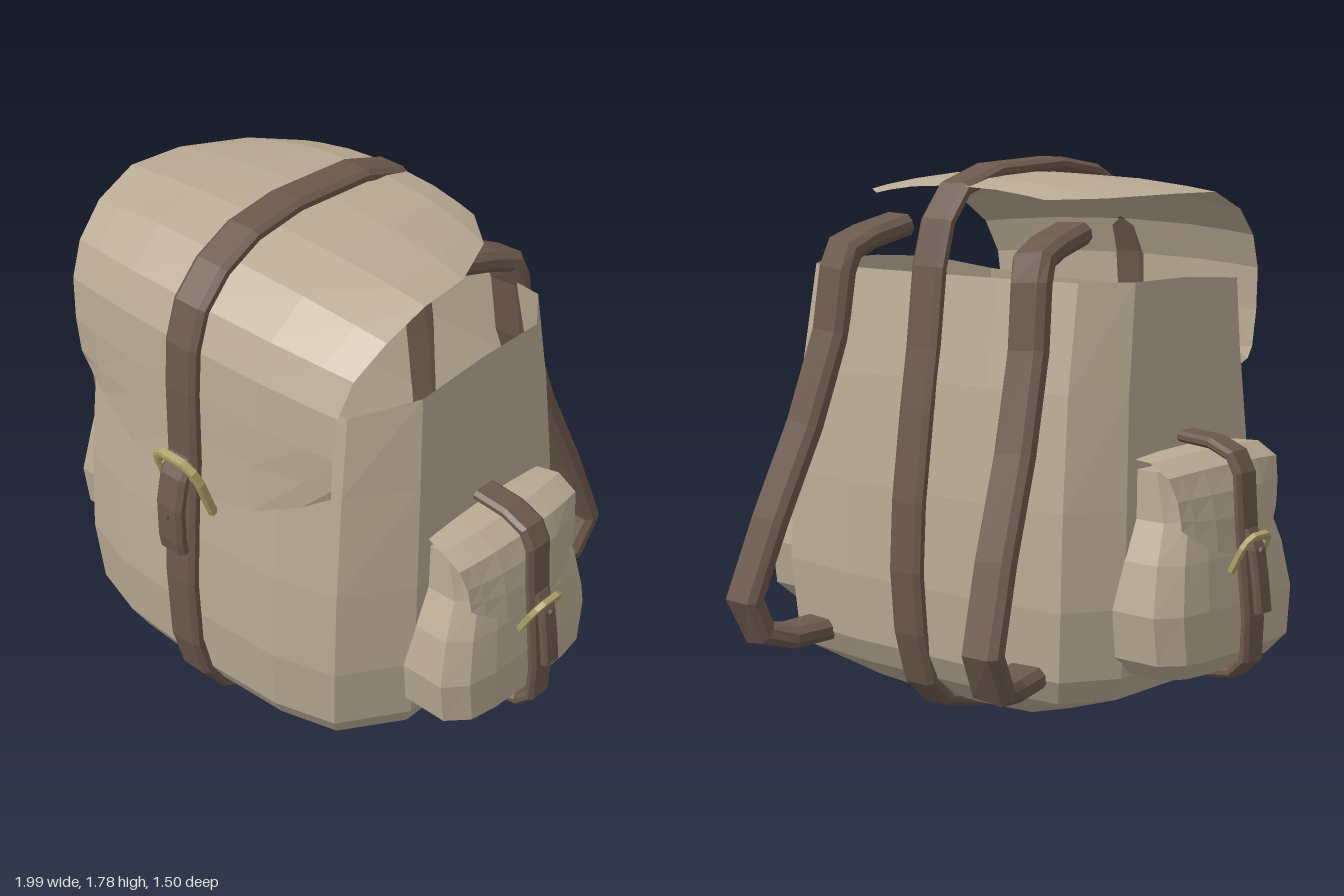
import * as THREE from 'three';

const V = (x, y, z) => new THREE.Vector3(x, y, z);
const mat = (name, color, side = THREE.FrontSide) => {
  const m = new THREE.MeshStandardMaterial({ color, side });
  m.name = name;
  return m;
};

// Faceted skin over rows of points; wrap closes each row, caps fill both ends
function loft(rows, { wrap = false, capStart = false, capEnd = false } = {}) {
  const p = [];
  const tri = (...vs) => vs.forEach(v => p.push(v.x, v.y, v.z));
  const n = rows[0].length;
  for (let i = 0; i < rows.length - 1; i++) {
    for (let j = 0; j < (wrap ? n : n - 1); j++) {
      const k = (j + 1) % n, a = rows[i][j], b = rows[i][k], c = rows[i + 1][k], d = rows[i + 1][j];
      tri(a, b, c);
      tri(a, c, d);
    }
  }
  const cap = (r, flip) => {
    const c = r.reduce((s, v) => s.add(v), V(0, 0, 0)).divideScalar(n);
    r.forEach((v, j) => flip ? tri(c, r[(j + 1) % n], v) : tri(c, v, r[(j + 1) % n]));
  };
  if (capStart) cap(rows[0], true);
  if (capEnd) cap(rows[rows.length - 1], false);
  const g = new THREE.BufferGeometry();
  g.setAttribute('position', new THREE.Float32BufferAttribute(p, 3));
  g.computeVertexNormals();
  return g;
}

// Bevelled flat band swept along points; across = width direction
function band(pts, width, thick, across, closed = false) {
  const n = pts.length, w = width / 2, t = thick / 2;
  const section = [[1, -.4], [1, .4], [.72, 1], [-.72, 1], [-1, .4], [-1, -.4], [-.72, -1], [.72, -1]];
  const rows = pts.map((p, i) => {
    const prev = closed ? pts[(i + n - 1) % n] : pts[Math.max(i - 1, 0)];
    const next = closed ? pts[(i + 1) % n] : pts[Math.min(i + 1, n - 1)];
    const d1 = p.clone().sub(prev).normalize(), d2 = next.clone().sub(p).normalize();
    const T = d1.clone().add(d2).normalize();
    const end = !closed && (i === 0 || i === n - 1);
    const miter = end ? 1 : 1 / Math.max(.6, T.dot(d2));
    const S = across.clone().addScaledVector(T, -T.dot(across)).normalize();
    const N = T.clone().cross(S);
    return section.map(([a, b]) => p.clone().addScaledVector(S, a * w).addScaledVector(N, b * t * miter));
  });
  if (closed) rows.push(rows[0]);
  return loft(rows, { wrap: true, capStart: !closed, capEnd: !closed });
}

// Horizontal bag section with bevelled corners
function bagRing([y, hx, zf, zb], yAt = () => y) {
  const half = [[.5, .985], [.8, .93], [1, .74], [1, .45], [1, .18], [.84, .03], [.4, 0]];
  const all = [[0, 1], ...half, ...half.slice().reverse().map(([a, b]) => [-a, b])];
  return all.map(([a, b]) => {
    const z = zb + (zf - zb) * b;
    return V(a * hx, yAt(z), z);
  });
}

// Domed flap; rows are [half width, centre y, edge y, centre z, edge z]
function flapSheet(rows) {
  const cols = [1, .82, .5, 0, -.5, -.82, -1];
  return loft(rows.map(([w, yc, ye, zc, ze]) =>
    cols.map(v => V(v * w, yc + (ye - yc) * v * v, zc + (ze - zc) * v * v))));
}

export function createModel() {
  const root = new THREE.Group();
  root.name = 'backpack';
  const canvas = mat('canvas', 0xb8a993, THREE.DoubleSide);
  const leather = mat('leather', 0x6b584c);
  const brass = mat('brass', 0xaba168);
  const X = V(1, 0, 0), Z = V(0, 0, 1);
  const add = (parent, name, geo, m) => {
    const mesh = new THREE.Mesh(geo, m);
    mesh.name = name;
    parent.add(mesh);
    return mesh;
  };
  const yz = list => list.map(([z, y]) => V(0, y, z));

  // Arched buckle with a crossbar, leaning outward at the top
  function addBuckle(parent, name, hw, h, r, y, z, tilt) {
    const g = new THREE.Group();
    g.name = name;
    const arch = [[-1, 0], [-1, .68], [-.85, .88], [-.5, 1], [.5, 1], [.85, .88], [1, .68], [1, 0]];
    add(g, 'buckleArch', band(arch.map(([a, b]) => V(a * hw, b * h, 0)), r * 2, r * 2, Z), brass);
    add(g, 'buckleBar', new THREE.BoxGeometry(hw * 1.8, r * 1.2, r * 1.2).translate(0, h * .72, 0), brass);
    g.position.set(0, y, z);
    g.rotation.x = tilt;
    parent.add(g);
  }

  // Main bag, open at the top with a rim that dips to the front
  const rings = [[.06, .4, .49, -.3], [.15, .64, .59, -.42], [.23, .68, .64, -.46], [.45, .7, .66, -.475],
    [.75, .695, .645, -.46], [1.1, .68, .605, -.42]].map(r => bagRing(r));
  rings.push(bagRing([1.43, .668, .565, -.36], z => 1.43 - .09 * Math.pow(Math.max(0, z - .05) / .51, 2.5)));
  add(root, 'bag', loft(rings, { wrap: true, capStart: true }), canvas);

  // Top flap
  add(root, 'topFlap', flapSheet([
    [.36, 1.7, 1.665, -.275, -.25], [.5, 1.725, 1.67, -.18, -.13], [.6, 1.738, 1.68, .06, .08],
    [.62, 1.725, 1.68, .28, .27], [.61, 1.67, 1.62, .45, .42], [.585, 1.56, 1.53, .58, .53],
    [.57, 1.44, 1.42, .63, .58], [.56, 1.28, 1.28, .64, .59], [.55, 1.13, 1.16, .645, .585],
    [.54, .92, 1.12, .655, .575]]), canvas);

  // Centre strap looping round the whole bag
  add(root, 'centreStrap', band(yz([
    [.2, 1.757], [.38, 1.73], [.51, 1.665], [.6, 1.57], [.64, 1.45], [.652, 1.3], [.655, 1.05], [.67, .9],
    [.69, .6], [.68, .35], [.64, .21], [.565, .11], [.44, .045], [.2, .025], [-.2, .032], [-.35, .065],
    [-.43, .14], [-.475, .3], [-.492, .5], [-.48, .72], [-.442, 1], [-.41, 1.2], [-.38, 1.45], [-.34, 1.59],
    [-.26, 1.69], [-.1, 1.742]]), .13, .045, X, true), leather);
  add(root, 'strapTongue', band(yz([[.66, 1.06], [.7, 1], [.722, .9], [.722, .78], [.715, .735]]), .11, .042, X), leather);
  add(root, 'tongueStud', new THREE.CylinderGeometry(.012, .012, .02, 6).rotateX(Math.PI / 2)
    .translate(0, .87, .742), leather);
  addBuckle(root, 'frontBuckle', .088, .21, .015, .87, .63, .36);

  // Shoulder straps, splayed outward towards the bottom
  for (const s of [1, -1]) {
    const path = [[.37, 1.56, -.13], [.39, 1.525, -.27], [.405, 1.49, -.35], [.415, 1.42, -.375],
      [.425, 1.22, -.4], [.455, .92, -.495], [.49, .62, -.62], [.52, .365, -.71], [.51, .245, -.655],
      [.475, .225, -.56], [.45, .235, -.42]];
    add(root, s > 0 ? 'leftShoulderStrap' : 'rightShoulderStrap',
      band(path.map(([x, y, z]) => V(s * x, y, z)), .14, .07, X), leather);
  }

  // Side pockets, each built facing +z and turned to its side
  for (const s of [1, -1]) {
    const g = new THREE.Group();
    g.name = s > 0 ? 'leftPocket' : 'rightPocket';
    const body = [[.24, .27, .87, .6], [.3, .33, .915, .6], [.45, .35, .915, .6], [.6, .315, .895, .6],
      [.72, .26, .87, .6], [.87, .25, .82, .6]].map(r => bagRing(r));
    add(g, 'pocketBag', loft(body, { wrap: true, capStart: true, capEnd: true }), canvas);
    add(g, 'pocketFlap', flapSheet([[.25, .915, .9, .66, .66], [.28, .915, .9, .79, .76],
      [.28, .875, .86, .86, .83], [.26, .8, .79, .89, .85], [.25, .72, .73, .905, .855],
      [.245, .6, .7, .915, .855]]), canvas);
    add(g, 'pocketStrap', band(yz([[.68, .945], [.8, .935], [.875, .905], [.905, .85], [.915, .7], [.93, .55],
      [.945, .4], [.94, .28], [.89, .232], [.8, .22], [.68, .225]]), .1, .034, X), leather);
    add(g, 'pocketTongue', band(yz([[.925, .68], [.955, .62], [.97, .53], [.982, .43]]), .07, .03, X), leather);
    add(g, 'pocketStud', new THREE.CylinderGeometry(.01, .01, .015, 6).rotateX(Math.PI / 2)
      .translate(0, .62, .972), leather);
    addBuckle(g, 'pocketBuckle', .06, .125, .011, .555, .905, .5);
    g.position.z = .045;
    g.rotation.y = s * Math.PI / 2;
    root.add(g);
  }
  return root;
}
